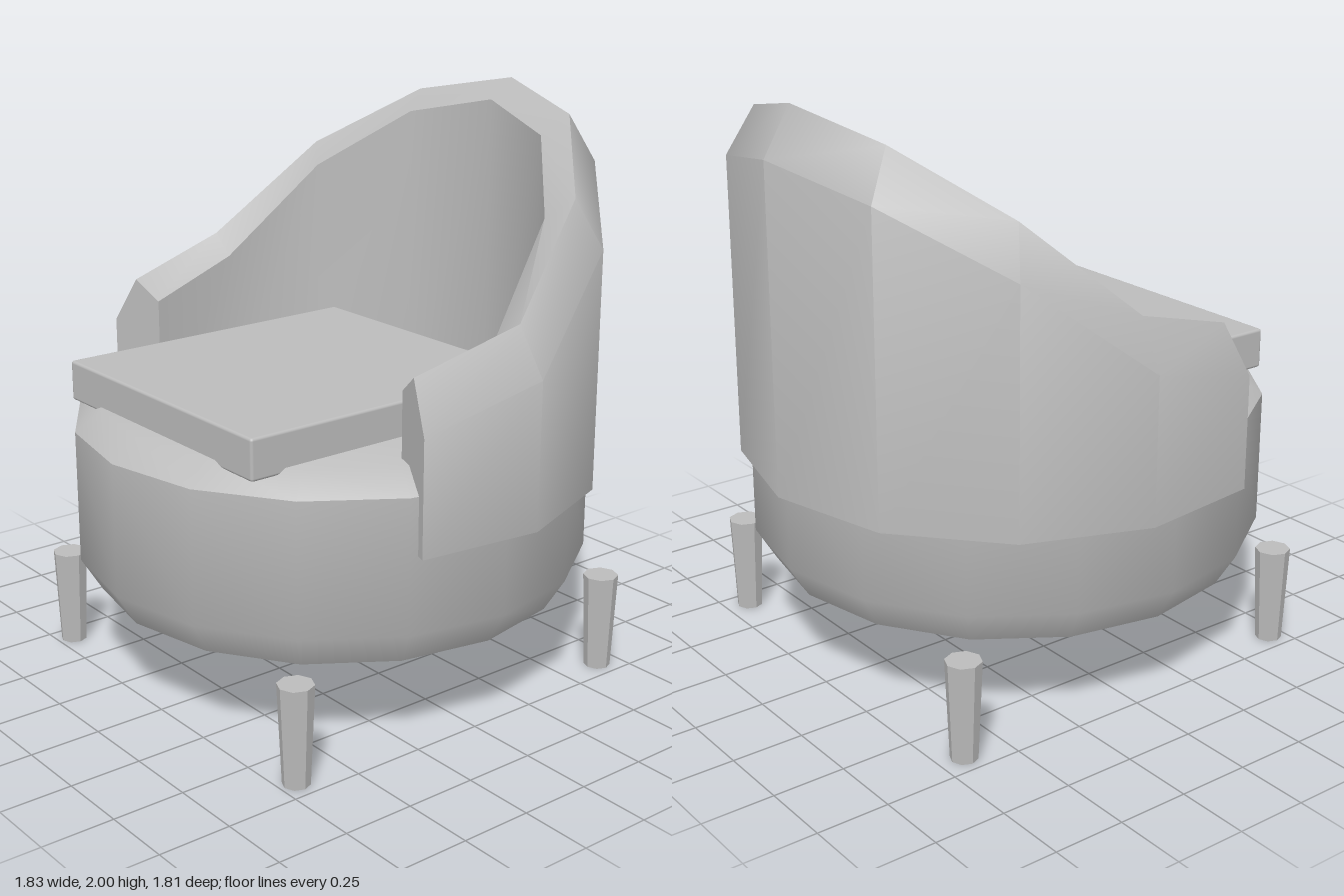
import * as THREE from 'three';
import { toCreasedNormals } from 'three/addons/utils/BufferGeometryUtils.js';
import { RoundedBoxGeometry } from 'three/addons/geometries/RoundedBoxGeometry.js';

const CREASE = 0.75;
const CENTER_Z = 0.017;

// Wrap-around back: a bevelled wall section swept along part of a 13-sided ring
function backrestGeometry() {
  const crest = [2.0, 1.925, 1.715, 1.39, 1.28]; // rim height from the middle to the arm tips
  const half = crest.length - 1;
  const bottom = 0.725;
  const positions = [];
  const index = [];
  const n = 5;
  for (let i = -half; i <= half; i++) {
    const a = (i * Math.PI * 2) / 13;
    const y = crest[Math.abs(i)];
    const section = [[0.922, bottom], [0.922, y - 0.163], [0.825, y], [0.727, y - 0.07], [0.727, bottom]];
    for (const [r, h] of section) positions.push(r * Math.sin(a), h, CENTER_Z - r * Math.cos(a));
  }
  const last = half * 2 * n;
  for (let i = 0; i < half * 2; i++) {
    for (let j = 0; j < n; j++) {
      const k = (j + 1) % n;
      const a = i * n + j, b = i * n + k;
      index.push(a, b, a + n, b, b + n, a + n);
    }
  }
  // Arm tips
  for (let j = 1; j < n - 1; j++) {
    index.push(0, j + 1, j);
    index.push(last, last + j, last + j + 1);
  }
  const geometry = new THREE.BufferGeometry();
  geometry.setAttribute('position', new THREE.Float32BufferAttribute(positions, 3));
  geometry.setIndex(index);
  return toCreasedNormals(geometry, CREASE);
}

export function createModel() {
  const group = new THREE.Group();
  const grey = new THREE.MeshStandardMaterial({ color: 0xbcbcbc });
  grey.name = 'grey';

  const add = (name, geometry, x, y, z) => {
    const mesh = new THREE.Mesh(geometry, grey);
    mesh.name = name;
    mesh.position.set(x, y, z);
    group.add(mesh);
  };

  // Round seat drum with chamfered edges
  const profile = [[0, 0.345], [0.82, 0.345], [0.89, 0.46], [0.89, 0.92], [0.8, 0.99], [0, 0.99]]
    .map(([r, y]) => new THREE.Vector2(r, y));
  add('seatBase', toCreasedNormals(new THREE.LatheGeometry(profile, 16), CREASE), 0, 0, CENTER_Z);

  add('backrest', backrestGeometry(), 0, 0, 0);

  // Square cushion sunk slightly into the seat
  add('cushion', new RoundedBoxGeometry(1.05, 0.14, 1.155, 2, 0.01), 0, 1.04, 0.16);

  // Tapered eight-sided legs
  const legGeometry = toCreasedNormals(new THREE.CylinderGeometry(0.061, 0.046, 0.345, 8), 0.5);
  for (const [side, x] of [['Left', 0.675], ['Right', -0.675]]) {
    add('front' + side + 'Leg', legGeometry, x, 0.1725, 0.69);
    add('back' + side + 'Leg', legGeometry, x, 0.1725, -0.66);
  }
  return group;
}
